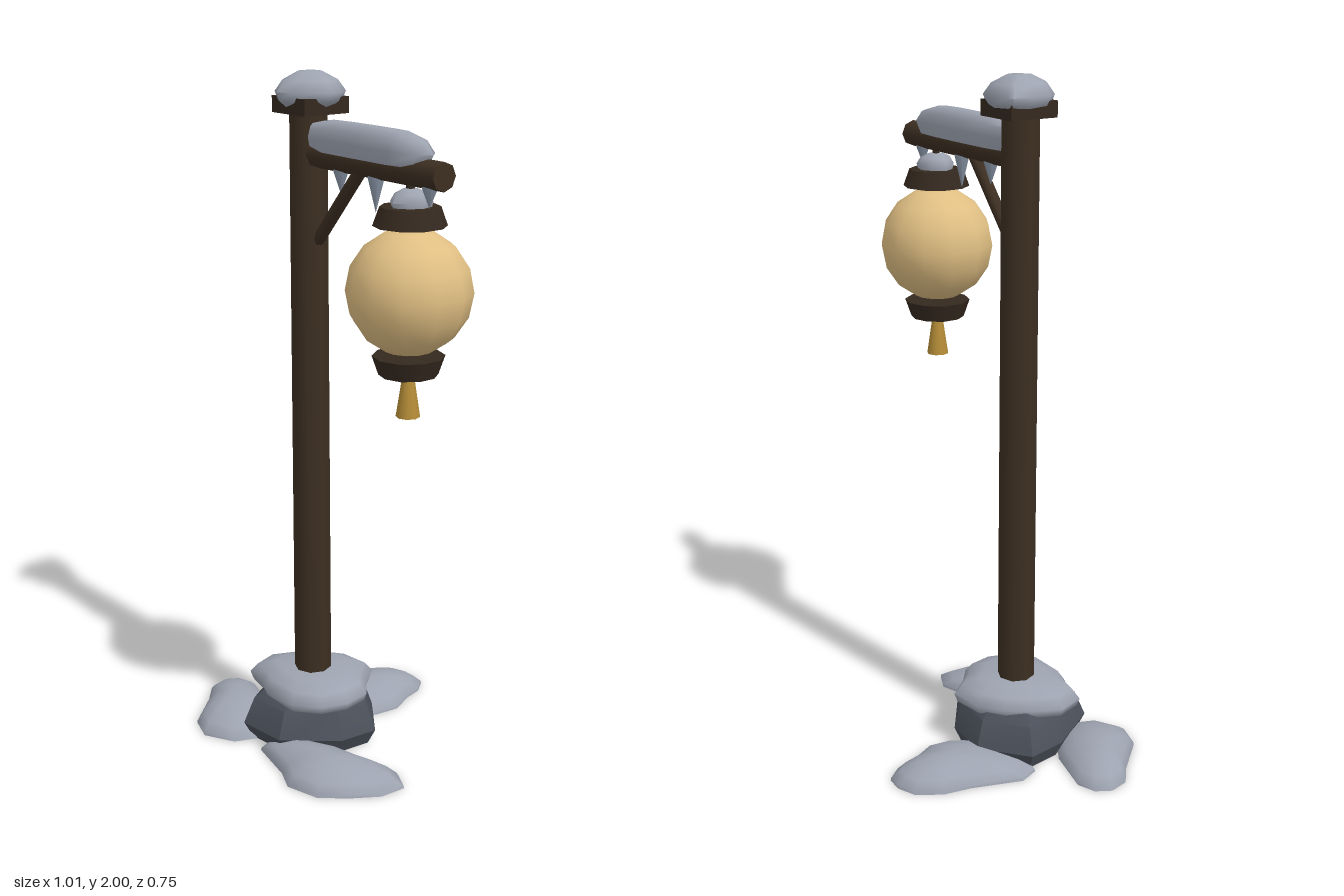
import * as THREE from 'three';
import { toCreasedNormals } from 'three/addons/utils/BufferGeometryUtils.js';

function material(name, color) {
  const m = new THREE.MeshStandardMaterial({ color });
  m.name = name;
  return m;
}

// Closed lump: a ground-plan outline [x, z] scaled about its middle at each [y, scale] layer.
function moundGeometry(outline, layers, crease = 1.0) {
  let area = 0;
  outline.forEach(([x, z], i) => {
    const [x2, z2] = outline[(i + 1) % outline.length];
    area += x * z2 - x2 * z;
  });
  const pts = area > 0 ? outline : [...outline].reverse();
  const n = pts.length;
  const cx = pts.reduce((s, p) => s + p[0], 0) / n;
  const cz = pts.reduce((s, p) => s + p[1], 0) / n;
  const pos = [];
  const index = [];
  for (const [y, s] of layers) {
    for (const [x, z] of pts) pos.push(cx + (x - cx) * s, y, cz + (z - cz) * s);
  }
  const top = (layers.length - 1) * n;
  const bottomCentre = layers.length * n;
  pos.push(cx, layers[0][0], cz, cx, layers[layers.length - 1][0] + 0.003, cz);
  for (let i = 0; i < n; i++) {
    const j = (i + 1) % n;
    for (let k = 0; k < layers.length - 1; k++) {
      const a = k * n + i, b = k * n + j;
      index.push(a, a + n, b, b, a + n, b + n);
    }
    index.push(bottomCentre, i, j, bottomCentre + 1, top + j, top + i);
  }
  const g = new THREE.BufferGeometry();
  g.setAttribute('position', new THREE.Float32BufferAttribute(pos, 3));
  g.setIndex(index);
  return toCreasedNormals(g, crease);
}

export function createModel() {
  const wood = material('dark wood', 0x3d2f22);
  const trim = material('lantern trim', 0x35291f);
  const snow = material('snow', 0x9da3b0);
  const ice = material('ice', 0x8c99aa);
  const stone = material('stone', 0x4a4f59);
  const paper = material('lantern paper', 0xe0bf83);
  const gold = material('gold tassel', 0xb58d38);

  const model = new THREE.Group();
  const PX = -0.095, Z = 0.08, LX = 0.34;

  function add(name, geometry, mat, x = 0, y = 0, z = 0) {
    const mesh = new THREE.Mesh(geometry, mat);
    mesh.name = name;
    mesh.position.set(x, y, z);
    model.add(mesh);
    return mesh;
  }
  const tube = (rTop, rBottom, h, sides) => new THREE.CylinderGeometry(rTop, rBottom, h, sides);

  // Round beam between two points
  function beam(name, from, to, r) {
    const a = new THREE.Vector3(...from), b = new THREE.Vector3(...to);
    const dir = b.clone().sub(a);
    const mid = a.clone().add(b).multiplyScalar(0.5);
    const mesh = add(name, tube(r, r, dir.length(), 8), wood, mid.x, mid.y, mid.z);
    mesh.quaternion.setFromUnitVectors(new THREE.Vector3(0, 1, 0), dir.normalize());
  }

  // Timber frame
  add('post', tube(0.053, 0.056, 1.82, 8), wood, PX, 1.0, Z);
  add('postCap', new THREE.BoxGeometry(0.15, 0.045, 0.15), trim, -0.09, 1.908, 0.077);
  beam('arm', [PX, 1.777, Z], [0.47, 1.777, Z], 0.038);
  beam('brace', [-0.07, 1.52, Z], [0.15, 1.77, Z], 0.018);

  // Base stone
  add('baseStone', moundGeometry([
    [-0.3, 0], [-0.17, -0.11], [-0.03, -0.1], [0.11, 0], [0.1, 0.12],
    [-0.02, 0.265], [-0.175, 0.285], [-0.28, 0.12],
  ], [[0, 0.88], [0.05, 1], [0.13, 0.85], [0.18, 0.55]], 0.7), stone);

  // Snow resting on the stone, the post and the arm
  add('baseSnow', moundGeometry([
    [-0.03, -0.1], [0.03, -0.03], [0.08, 0.01], [0.095, 0.09], [0.07, 0.17], [0, 0.23],
    [-0.13, 0.235], [-0.18, 0.215], [-0.26, 0.2], [-0.285, 0.12], [-0.25, 0.04],
    [-0.2, -0.03], [-0.13, -0.085],
  ], [[0.125, 0.8], [0.14, 0.95], [0.165, 1], [0.195, 0.87], [0.212, 0.6]], 1.3), snow);
  add('postSnow', moundGeometry([
    [-0.175, 0], [-0.16, -0.01], [-0.08, -0.015], [-0.03, 0], [0, 0.04], [0.012, 0.08],
    [-0.02, 0.13], [-0.06, 0.165], [-0.1, 0.183], [-0.14, 0.16], [-0.175, 0.12], [-0.18, 0.06],
  ], [[1.905, 0.72], [1.92, 0.9], [1.945, 1], [1.975, 0.78], [1.997, 0.35]], 1.3), snow);
  add('armSnow', moundGeometry([
    [-0.12, 0.05], [0, 0.035], [0.15, 0.032], [0.3, 0.035], [0.39, 0.042], [0.42, 0.075],
    [0.4, 0.11], [0.3, 0.125], [0.15, 0.122], [0, 0.118], [-0.12, 0.105],
  ], [[1.79, 0.9], [1.825, 1], [1.855, 0.88], [1.873, 0.6]], 1.3), snow);

  // Low drifts around the base
  const drifts = [
    [[-0.16, -0.377], [-0.11, -0.373], [-0.075, -0.33], [-0.06, -0.27], [-0.025, -0.2],
      [-0.035, -0.12], [-0.09, -0.03], [-0.18, 0.03], [-0.3, 0.01], [-0.325, -0.05],
      [-0.275, -0.2], [-0.26, -0.285], [-0.215, -0.355]],
    [[-0.43, 0.07], [-0.485, 0.09], [-0.51, 0.135], [-0.495, 0.195], [-0.435, 0.245],
      [-0.34, 0.35], [-0.26, 0.375], [-0.17, 0.325], [-0.145, 0.26], [-0.19, 0.17], [-0.28, 0.11]],
    [[-0.08, 0.29], [0.07, 0.32], [0.14, 0.35], [0.24, 0.32], [0.3, 0.25], [0.35, 0.17],
      [0.355, 0.09], [0.29, 0.06], [0.2, 0.09], [0.08, 0.12], [-0.05, 0.19], [-0.1, 0.24]],
  ];
  for (const outline of drifts) {
    add('snowDrift', moundGeometry(outline,
      [[0, 1], [0.008, 0.99], [0.03, 0.83], [0.05, 0.58], [0.062, 0.28]]), snow);
  }

  // Icicles under the arm
  for (const [x, length] of [[0.05, 0.075], [0.2, 0.105], [0.415, 0.065]]) {
    const icicle = add('icicle', new THREE.ConeGeometry(0.027, length, 6), ice, x, 1.755 - length / 2, Z);
    icicle.rotation.x = Math.PI;
  }

  // Hanging lantern
  add('hanger', tube(0.012, 0.012, 0.14, 6), trim, LX, 1.7, Z);
  const globe = add('lanternGlobe', new THREE.SphereGeometry(0.17, 12, 8), paper, LX, 1.463, Z);
  globe.rotation.y = Math.PI / 12;
  add('lanternTop', tube(0.08, 0.098, 0.05, 10), trim, LX, 1.662, Z);
  add('lanternBottom', tube(0.098, 0.08, 0.052, 10), trim, LX, 1.265, Z);
  add('tassel', tube(0.014, 0.033, 0.125, 8), gold, LX, 1.184, Z);
  const ring = [0.056, 0.05, 0.06, 0.052, 0.058, 0.05, 0.055, 0.06].map((r, i) =>
    [LX + r * Math.cos(i * Math.PI / 4), Z + r * Math.sin(i * Math.PI / 4)]);
  add('lanternSnow', moundGeometry(ring, [[1.68, 0.9], [1.7, 1], [1.72, 0.8], [1.732, 0.4]], 1.3), snow);

  return model;
}
